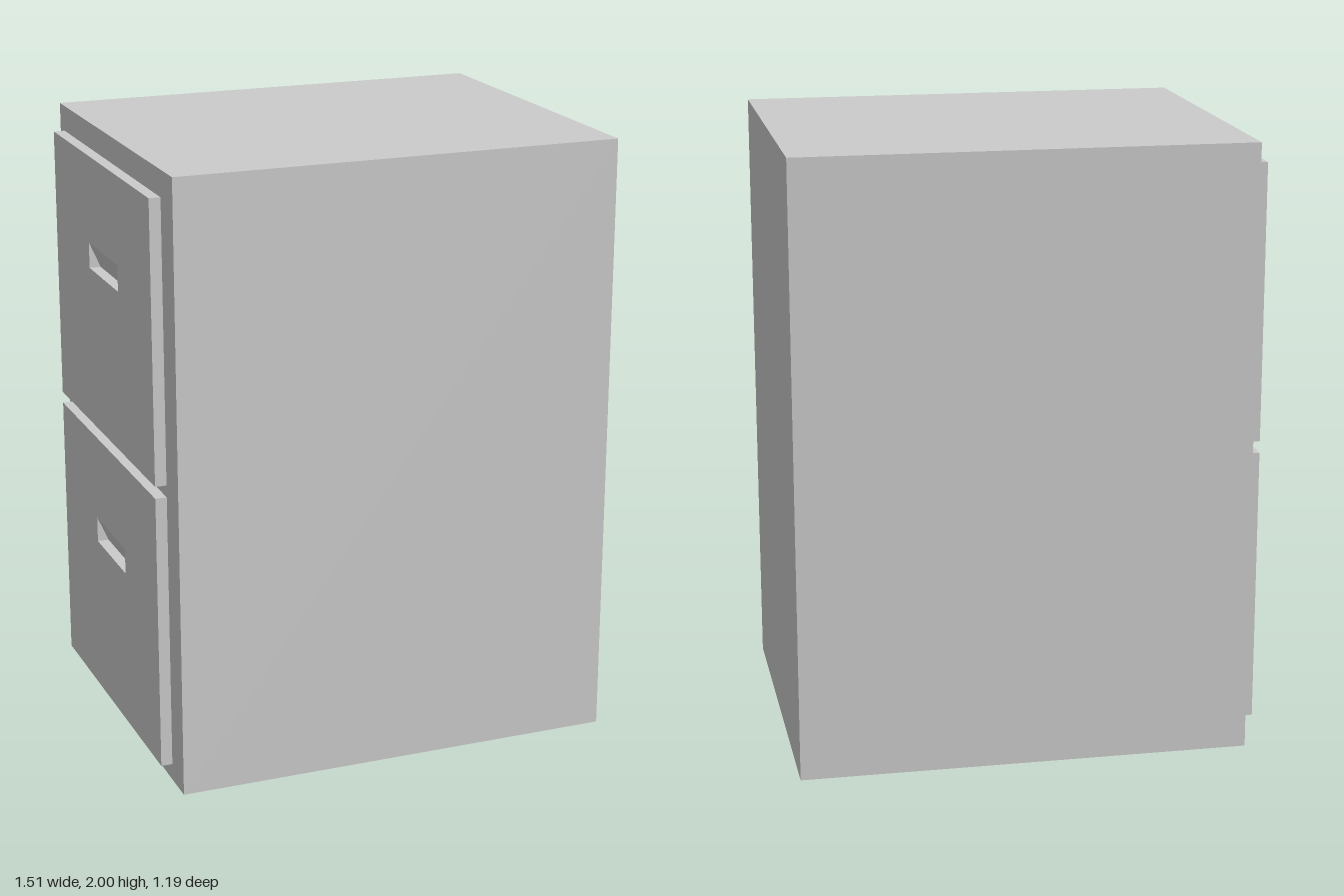
import * as THREE from 'three';

const material = new THREE.MeshStandardMaterial({ color: 0xcccccc, flatShading: true });

function add(parent, name, geometry, x = 0, y = 0, z = 0) {
  const mesh = new THREE.Mesh(geometry, material);
  mesh.name = name;
  mesh.position.set(x, y, z);
  parent.add(mesh);
}

// Closed polygon from [x, y] corners
const polygon = (points) => points.map(([x, y]) => new THREE.Vector2(x, y));
const rectangle = (x0, x1, y0, y1) => polygon([[x0, y0], [x1, y0], [x1, y1], [x0, y1]]);

// Drawer facing -x, with its origin at the middle of the panel's inner face
function createDrawer() {
  const drawer = new THREE.Group();
  const depth = 0.037, halfWidth = 0.513, halfHeight = 0.453;
  const pull = { z0: -0.135, z1: 0.175, y0: 0.08, y1: 0.165 };

  // Front panel with an opening for the finger pull
  const shape = new THREE.Shape(rectangle(-halfWidth, halfWidth, -halfHeight, halfHeight));
  shape.holes.push(new THREE.Path(rectangle(pull.z0, pull.z1, pull.y0, pull.y1)));
  const panel = new THREE.ExtrudeGeometry(shape, { depth, bevelEnabled: false });
  panel.rotateY(-Math.PI / 2);
  add(drawer, 'drawerPanel', panel);

  // Sloping back of the pull, deepest along its lower edge
  const wedge = new THREE.Shape(polygon([[-depth, pull.y1], [0, pull.y0], [0, pull.y1]]));
  const slope = new THREE.ExtrudeGeometry(wedge, { depth: pull.z1 - pull.z0, bevelEnabled: false });
  add(drawer, 'fingerPullSlope', slope, 0, 0, pull.z0);

  // Narrower spacer between panel and cabinet
  add(drawer, 'drawerSpacer', new THREE.BoxGeometry(0.01, 0.85, 0.956), 0.005, 0, 0);
  return drawer;
}

export function createModel() {
  const model = new THREE.Group();
  model.name = 'filingCabinet';

  // Plain cabinet body
  add(model, 'cabinetBody', new THREE.BoxGeometry(1.466, 2, 1.19), 0.023, 1, 0);

  // Two stacked drawers on the -x side
  [['lowerDrawer', 0.525], ['upperDrawer', 1.47]].forEach(([name, y]) => {
    const drawer = createDrawer();
    drawer.name = name;
    drawer.position.set(-0.72, y, 0);
    model.add(drawer);
  });
  return model;
}
